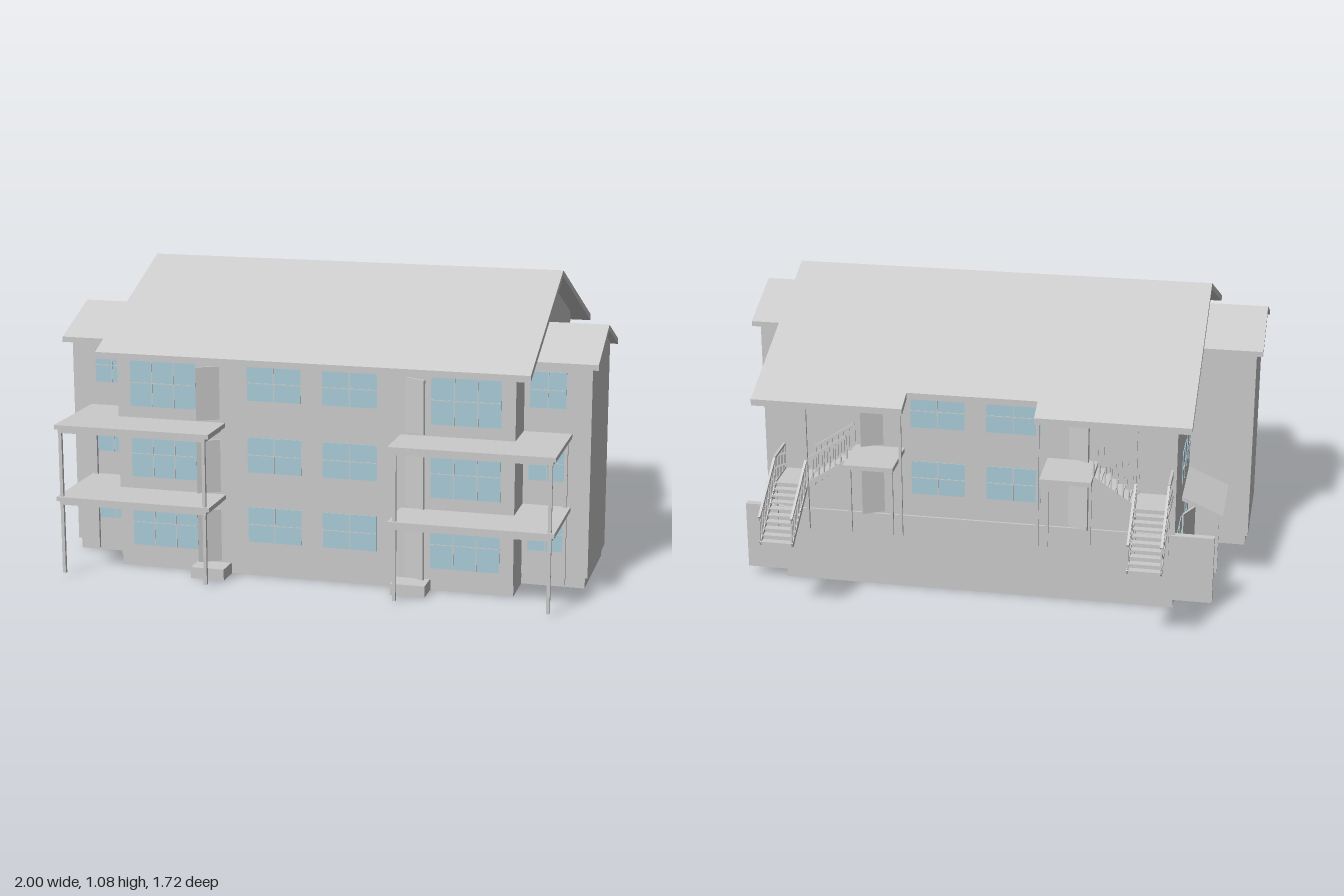
import * as THREE from 'three';

const grey = new THREE.MeshStandardMaterial({ color: 0xcccccc, flatShading: true });
const blue = new THREE.MeshStandardMaterial({ color: 0xa9ccd8, flatShading: true });

export function createModel() {
  const root = new THREE.Group();
  let part = root;

  const group = (name) => {
    part = new THREE.Group();
    part.name = name;
    root.add(part);
  };
  const add = (name, geo, mat = grey) => {
    const m = new THREE.Mesh(geo, mat);
    m.name = name;
    part.add(m);
    return m;
  };
  // Box between two corners
  const box = (name, x0, x1, y0, y1, z0, z1, mat) => {
    const m = add(name, new THREE.BoxGeometry(Math.abs(x1 - x0), Math.abs(y1 - y0), Math.abs(z1 - z0)), mat);
    m.position.set((x0 + x1) / 2, (y0 + y1) / 2, (z0 + z1) / 2);
    return m;
  };
  // Straight beam from a to b, w wide and h high
  const beam = (name, a, b, w, h) => {
    const p = new THREE.Vector3(...a), q = new THREE.Vector3(...b);
    const m = add(name, new THREE.BoxGeometry(w, h, p.distanceTo(q)));
    m.position.copy(p).lerp(q, 0.5);
    m.lookAt(q);
    return m;
  };
  const post = (name, x, z, y0, y1, r = 0.006) => box(name, x - r, x + r, y0, y1, z - r, z + r);
  // Profile of [z, y] points extruded along x
  const prism = (name, pts, xa, xb) => {
    const shape = new THREE.Shape(pts.map(([z, y]) => new THREE.Vector2(-z, y)));
    const geo = new THREE.ExtrudeGeometry(shape, { depth: Math.abs(xb - xa), bevelEnabled: false });
    geo.rotateY(Math.PI / 2).translate(Math.min(xa, xb), 0, 0);
    return add(name, geo);
  };
  // Gable roof sheet: front eave, ridge, back eave, thickness
  const gable = (name, f, r, b, t, xa, xb) =>
    prism(name, [f, r, b, [b[0], b[1] - t], [r[0], r[1] - t], [f[0], f[1] - t]], xa, xb);

  // Main block
  group('mainBlock');
  box('foundation', -0.735, 0.735, 0, 0.045, -0.49, 0.66);
  prism('walls', [[0.67, 0.04], [0.67, 0.82], [0.08, 1.055], [-0.5, 0.82], [-0.5, 0.04]], -0.735, 0.735);
  box('retainingWall', -0.88, 0.88, 0.04, 0.3, -0.508, -0.482);

  // Main roof, with a shorter eave in the middle of the back
  group('mainRoof');
  const ridge = [0.08, 1.077], slope = 0.403;
  for (const [xa, xb, zb] of [[-0.795, -0.238, -0.65], [-0.238, 0.238, -0.57], [0.238, 0.795, -0.65]])
    gable('roofSheet', [0.73, 1.077 - 0.65 * slope], ridge, [zb, 1.077 - (0.08 - zb) * slope], 0.024, xa, xb);

  // Window: glass and slim bars; u runs along the wall, d is the outward direction
  const windowAt = (axis, wall, d, u0, u1, y0, y1, panes) => {
    const put = (name, a, b, c, e, depth, mat) => axis === 'z'
      ? box(name, a, b, c, e, wall - d * 0.002, wall + d * depth, mat)
      : box(name, wall - d * 0.002, wall + d * depth, c, e, a, b, mat);
    put('windowGlass', u0, u1, y0, y1, 0.003, blue);
    for (let i = 1; i < panes; i++) {
      const u = u0 + (u1 - u0) * i / panes;
      put('windowBar', u - 0.002, u + 0.002, y0, y1, 0.005);
    }
    const ym = y0 + (y1 - y0) * 0.5;
    put('windowRail', u0, u1, ym - 0.0015, ym + 0.0015, 0.005);
  };

  // Door ajar: dark-set frame pieces and a leaf from hinge to free edge
  const door = (hinge, free, y0, y1) => {
    const ym = (y0 + y1) / 2;
    beam('doorLeaf', [hinge[0], ym, hinge[1]], [free[0], ym, free[1]], 0.008, y1 - y0);
  };

  const tops = [0.26, 0.52, 0.785];
  for (const s of [1, -1]) {
    const side = s > 0 ? 'left' : 'right';

    // Side wing with its own gable
    group(side + 'Wing');
    box('wingFoundation', s * 0.7, s * 0.965, 0, 0.045, 0.09, 0.505);
    prism('wingWalls', [[0.51, 0.04], [0.51, 0.825], [0.3, 0.905], [0.085, 0.825], [0.085, 0.04]], s * 0.7, s * 0.975);
    gable('wingRoof', [0.545, 0.826], [0.3, 0.924], [0.05, 0.826], 0.02, s * 0.73, s);

    // Windows on each floor
    group(side + 'Windows');
    tops.forEach((t, i) => {
      windowAt('z', 0.67, 1, s * 0.435, s * 0.685, t - 0.175, t, 3);
      windowAt('z', 0.67, 1, s * 0.04, s * 0.24, t - 0.13, t, 2);
      windowAt('z', 0.51, 1, s * 0.755, s * 0.885, t - 0.13, t, 2);
      windowAt('x', s * 0.735, s, -0.07, 0.06, t - 0.13, t, 2);
      windowAt('x', s * 0.735, s, i ? -0.25 : -0.435, i ? -0.12 : -0.24, t - 0.13, t, 2);
      if (i) windowAt('z', -0.5, -1, s * 0.04, s * 0.24, t - 0.13, t, 2);
    });

    // Front, back and side doors
    group(side + 'Doors');
    for (const y of [0.05, 0.31, 0.58]) door([s * 0.345, 0.672], [s * 0.42, 0.712], y, y + 0.195);
    for (const y of [0.31, 0.58]) door([s * 0.345, -0.502], [s * 0.42, -0.54], y, y + 0.195);
    door([s * 0.737, -0.175], [s * 0.775, -0.097], 0.05, 0.235);
    box('doorStep', s * 0.31, s * 0.435, 0, 0.042, 0.65, 0.755);

    // Two stacked front balconies on posts
    group(side + 'Balconies');
    for (const y of [0.3, 0.567]) {
      box('balconySlab', s * 0.325, s * 0.908, y - 0.016, y, 0.51, 0.858);
      box('balconyFrontBeam', s * 0.34, s * 0.898, y - 0.03, y - 0.016, 0.838, 0.85);
      box('balconySideBeam', s * 0.886, s * 0.898, y - 0.03, y - 0.016, 0.513, 0.85);
      box('balconyInnerBeam', s * 0.34, s * 0.352, y - 0.03, y - 0.016, 0.66, 0.85);
    }
    for (const [x, z] of [[0.89, 0.844], [0.347, 0.844], [0.89, 0.52]])
      post('balconyPost', s * x, z, 0.012, 0.55);

    // Sloping canopy over the side door
    group(side + 'Canopy');
    const canopy = beam('canopySheet', [s * 0.72, 0.322, -0.065], [s * 0.888, 0.25, -0.065], 0.295, 0.014);
    canopy.name = 'canopySheet';
    post('canopyPost', s * 0.87, -0.195, 0.01, 0.25);
    beam('canopyBeam', [s * 0.87, 0.247, 0.08], [s * 0.87, 0.247, -0.21], 0.01, 0.012);

    // Back stairs: upper deck, flight along the wall, landing, flight outward
    group(side + 'BackStairs');
    box('upperDeck', s * 0.265, s * 0.45, 0.553, 0.57, -0.695, -0.5);
    box('landing', s * 0.6, s * 0.725, 0.445, 0.457, -0.64, -0.5);
    for (const [x, y1] of [[0.285, 0.555], [0.44, 0.555], [0.6, 0.45], [0.72, 0.45]])
      post('deckPost', s * x, -0.635, 0.28, y1, 0.005);
    for (const x of [0.25, 0.6]) post('roofPost', s * x, -0.637, 0.28, 0.775, 0.005);

    for (let i = 0; i < 6; i++) {
      const x = 0.45 + i * 0.025, y = 0.55 - i * 0.019;
      box('wallStep', s * x, s * (x + 0.028), y - 0.006, y, -0.625, -0.51);
    }
    for (let i = 0; i < 9; i++) {
      const z = -0.64 - i * 0.0235, y = 0.442 - i * 0.0155;
      box('outerStep', s * 0.605, s * 0.717, y - 0.006, y, z - 0.026, z);
    }
    // Railing: handrail, lower string and balusters between two points
    const railing = (a, b, n, h = 0.1) => {
      const up = ([x, y, z], k) => [x, y + k, z];
      beam('railString', a, b, 0.007, 0.018);
      beam('handrail', up(a, h), up(b, h), 0.009, 0.009);
      for (let i = 0; i <= n; i++) {
        const p = a.map((v, k) => v + (b[k] - v) * i / n);
        post('baluster', p[0], p[2], p[1], p[1] + h, 0.0025);
      }
    };
    for (const z of [-0.51, -0.632]) railing([s * 0.45, 0.555, z], [s * 0.6, 0.455, z], 7);
    for (const x of [0.602, 0.72]) railing([s * x, 0.452, -0.638], [s * x, 0.312, -0.853], 10);
    railing([s * 0.72, 0.455, -0.505], [s * 0.72, 0.455, -0.638], 7);
  }
  return root;
}
